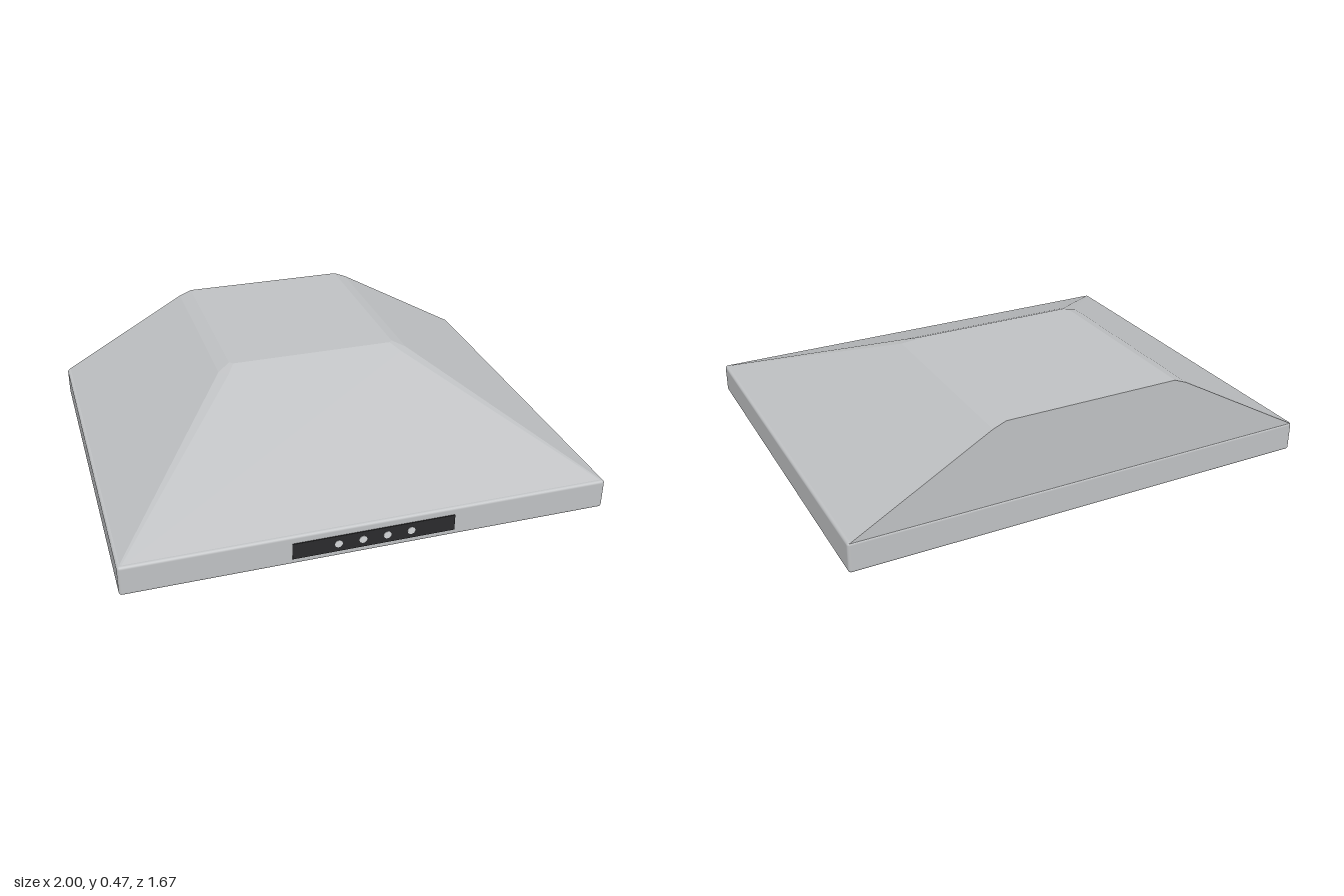
import * as THREE from 'three';
import { RoundedBoxGeometry } from 'three/addons/geometries/RoundedBoxGeometry.js';

const material = (name, color) => {
  const m = new THREE.MeshStandardMaterial({ color });
  m.name = name;
  return m;
};

// Lofted canopy: each level is a half width, height, front depth and hip chamfer
function canopyGeometry() {
  const back = -0.833;
  const levels = [
    { w: 0.992, y: 0.134, z: 0.822, c: 0.006 },
    { w: 0.425, y: 0.453, z: 0.055, c: 0.035 },
    { w: 0.37, y: 0.475, z: 0, c: 0.015 },
  ];
  const rings = levels.map(({ w, y, z, c }) => [
    [-w, y, back], [-w, y, z - c], [-w + c, y, z],
    [w - c, y, z], [w, y, z - c], [w, y, back],
  ]);
  const pos = [];
  const tri = (a, b, c) => pos.push(...a, ...b, ...c);
  const n = rings[0].length;
  for (let k = 0; k < rings.length - 1; k++) {
    for (let i = 0; i < n; i++) {
      const j = (i + 1) % n;
      const a = rings[k][i], b = rings[k][j], c = rings[k + 1][j], d = rings[k + 1][i];
      tri(a, b, c);
      tri(a, c, d);
    }
  }
  // Flat top
  const top = rings[rings.length - 1];
  for (let i = 1; i < n - 1; i++) tri(top[0], top[i], top[i + 1]);
  const g = new THREE.BufferGeometry();
  g.setAttribute('position', new THREE.Float32BufferAttribute(pos, 3));
  g.computeVertexNormals();
  return g;
}

export function createModel() {
  const steel = material('brushed steel', 0xbfc1c3);
  const filterSteel = material('filter steel', 0xb4b6b8);
  const black = material('control black', 0x2a2a2c);
  const slotBlack = material('slot black', 0x202022);
  const buttonGrey = material('button grey', 0xd4d6d8);

  const model = new THREE.Group();
  model.name = 'rangeHood';
  const add = (parent, name, geometry, mat, x, y, z) => {
    const mesh = new THREE.Mesh(geometry, mat);
    mesh.name = name;
    mesh.position.set(x, y, z);
    parent.add(mesh);
    return mesh;
  };

  // Rim and sloping canopy
  add(model, 'rim', new RoundedBoxGeometry(2, 0.128, 1.664, 3, 0.012), steel, 0, 0.073, -0.003);
  add(model, 'canopy', canopyGeometry(), steel, 0, 0, 0);

  // Control strip with four round buttons
  const controls = new THREE.Group();
  controls.name = 'controls';
  model.add(controls);
  add(controls, 'controlPanel', new THREE.BoxGeometry(0.67, 0.07, 0.008), black, 0, 0.07, 0.829);
  const buttonGeometry = new THREE.CylinderGeometry(0.016, 0.016, 0.006, 24).rotateX(Math.PI / 2);
  for (let i = 0; i < 4; i++) {
    add(controls, 'button', buttonGeometry, buttonGrey, -0.15 + i * 0.1, 0.07, 0.832);
  }

  // Two slotted grease filters underneath
  const filterGeometry = new THREE.BoxGeometry(0.88, 0.008, 1.34);
  const slotGeometry = new THREE.BoxGeometry(0.8, 0.006, 0.056);
  for (const side of [-1, 1]) {
    const filter = new THREE.Group();
    filter.name = side > 0 ? 'leftFilter' : 'rightFilter';
    filter.position.x = side * 0.47;
    model.add(filter);
    add(filter, 'filterPlate', filterGeometry, filterSteel, 0, 0.007, 0);
    for (let i = 0; i < 11; i++) {
      add(filter, 'slot', slotGeometry, slotBlack, 0, 0.003, (i - 5) * 0.121);
    }
  }
  return model;
}
